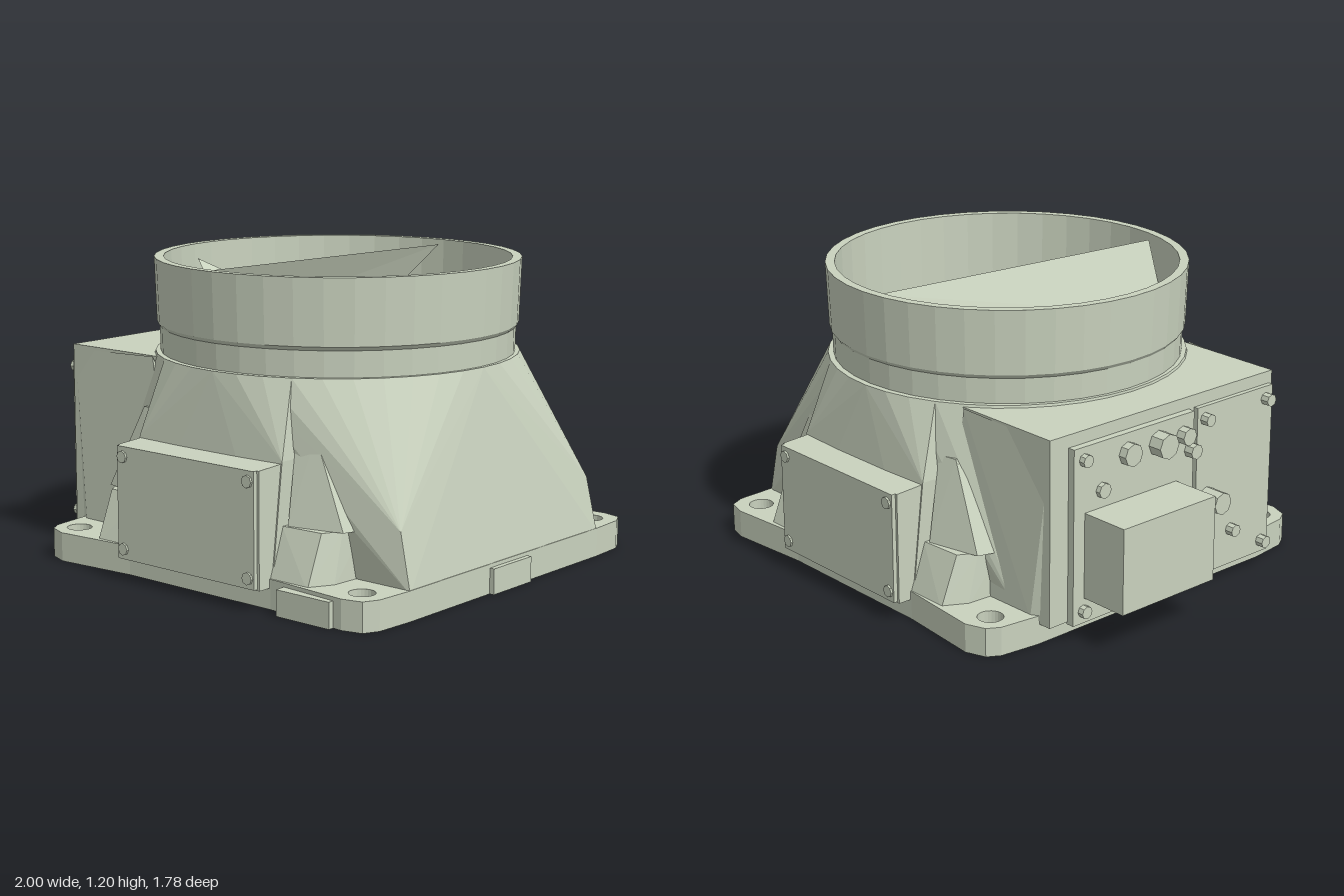
import * as THREE from 'three';
import { ConvexGeometry } from 'three/addons/geometries/ConvexGeometry.js';

const CX = 0.135; // axis of the collar and base
const paint = new THREE.MeshStandardMaterial({ color: 0xc9d2be, flatShading: true, side: THREE.DoubleSide });

export function createModel() {
  const model = new THREE.Group();

  const add = (name, geometry, x = 0, y = 0, z = 0) => {
    const mesh = new THREE.Mesh(geometry, paint);
    mesh.name = name;
    mesh.position.set(x, y, z);
    model.add(mesh);
    return mesh;
  };
  // Box given by its lower and upper corner
  const box = (name, x0, x1, y0, y1, z0, z1) =>
    add(name, new THREE.BoxGeometry(x1 - x0, y1 - y0, z1 - z0), (x0 + x1) / 2, (y0 + y1) / 2, (z0 + z1) / 2);
  // Solid through a few corner points
  const hull = (name, points) => add(name, new ConvexGeometry(points.map(p => new THREE.Vector3(...p))));
  const sheet = (name, points, index) => {
    const g = new THREE.BufferGeometry();
    g.setAttribute('position', new THREE.Float32BufferAttribute(points.flat(), 3));
    g.setIndex(index);
    g.computeVertexNormals();
    return add(name, g);
  };

  // Base flange: clipped corners, four bolt holes, round air opening
  const outline = new THREE.Shape();
  [[-0.71, -0.6], [-0.69, -0.76], [-0.66, -0.81], [-0.58, -0.84], [-0.23, -0.81], [0.5, -0.81], [0.86, -0.84],
    [0.94, -0.82], [0.97, -0.76], [0.98, -0.6], [0.98, 0.6], [0.97, 0.76], [0.94, 0.82], [0.86, 0.84],
    [0.5, 0.81], [-0.23, 0.81], [-0.58, 0.84], [-0.66, 0.81], [-0.69, 0.76], [-0.71, 0.6]]
    .forEach(([x, y], i) => (i ? outline.lineTo(x, y) : outline.moveTo(x, y)));
  const hole = (x, y, r) => outline.holes.push(new THREE.Path().absarc(x, y, r, 0, Math.PI * 2, true));
  hole(CX, 0, 0.76);
  for (const x of [-0.595, 0.865]) for (const z of [-0.73, 0.73]) hole(x, z, 0.05);
  const flange = new THREE.ExtrudeGeometry(outline, { depth: 0.115, bevelEnabled: false, curveSegments: 12 });
  add('baseFlange', flange.rotateX(-Math.PI / 2));
  box('flangeTabSide', 0.95, 1, 0, 0.1, -0.12, 0.12);
  box('flangeTabFront', 0.57, 0.82, 0, 0.1, 0.8, 0.86);

  // Air opening underneath: flat guard with a slotted rim
  add('guardPlate', new THREE.CircleGeometry(0.67, 40).rotateX(Math.PI / 2), CX, 0.015, 0);
  add('guardRim', new THREE.RingGeometry(0.7, 0.76, 40).rotateX(Math.PI / 2), CX, 0.015, 0);
  for (let i = 0; i < 4; i++) {
    add('guardSpoke', new THREE.BoxGeometry(1.48, 0.012, 0.03), CX, 0.014, 0).rotation.y = (i + 0.5) * Math.PI / 4;
  }

  // Housing: rectangle at the foot passing into the round neck
  const neck = [];
  for (let i = 0; i < 40; i++) {
    const a = i / 40 * Math.PI * 2;
    neck.push([CX + 0.715 * Math.cos(a), 0.83, 0.725 * Math.sin(a)]);
  }
  const foot = [];
  for (const z of [-0.6, 0.6]) foot.push([-0.6, 0.1, z], [0.98, 0.1, z], [0.93, 0.32, z * 0.99]);
  hull('housing', [...neck, ...foot]);
  box('controlBox', -0.765, 0.1, 0.08, 0.82, -0.59, 0.585);
  for (const s of [-1, 1]) {
    hull('controlBoxFlank', [[-0.76, 0.08, s * 0.56], [-0.76, 0.8, s * 0.58], [-0.3, 0.82, s * 0.6],
      [-0.2, 0.1, s * 0.62], [-0.68, 0.1, s * 0.61], [-0.2, 0.5, s * 0.5]]);
  }

  // Round collar with a thin wall and a small step near its foot
  const wall = [[0.68, 0.83], [0.7, 0.83], [0.702, 0.93], [0.713, 0.945], [0.722, 1.2], [0.685, 1.2], [0.68, 0.83]];
  add('collar', new THREE.LatheGeometry(wall.map(p => new THREE.Vector2(...p)), 40), CX, 0, 0);

  // Damper blade and deflector inside the collar
  sheet('damperBlade', [[0.12, 1.18, -0.67], [-0.01, 1.18, 0.65], [-0.14, 0.9, 0.62], [-0.03, 0.9, -0.4]],
    [0, 1, 2, 0, 2, 3]);
  sheet('deflector', [[-0.53, 1.14, 0.1], [-0.35, 1.02, -0.08], [-0.25, 0.97, 0.27]], [0, 1, 2]);

  // Front and back: covered compartment, buttresses and foot blocks
  for (const s of [-1, 1]) {
    const arc = neck.filter(p => p[2] * s > 0 && Math.abs(p[0] - CX) < 0.35);
    hull('compartment', [...arc, ...[-0.23, 0.5].flatMap(x =>
      [[x, 0.08, s * 0.8], [x, 0.54, s * 0.745], [x, 0.08, s * 0.4], [x, 0.54, s * 0.4]])]);
    hull('coverHousing', [-0.225, 0.495].flatMap(x =>
      [[x, 0.08, s * 0.6], [x, 0.08, s * 0.865], [x, 0.525, s * 0.865], [x, 0.54, s * 0.6]]));
    add('cover', new THREE.BoxGeometry(0.7, 0.44, 0.025), CX, 0.305, s * 0.87);
    for (const x of [-0.185, 0.455]) for (const y of [0.125, 0.485]) {
      add('coverScrew', new THREE.CylinderGeometry(0.024, 0.024, 0.014, 8).rotateX(Math.PI / 2), x, y, s * 0.884);
    }
    for (const m of [-1, 1]) {
      const at = (d, y, w) => [CX + m * d, y, s * w];
      // Fairing that leans from the neck out over the foot block
      hull('buttress', [at(0.38, 0.3, 0.73), at(0.6, 0.3, 0.68), at(0.64, 0.3, 0.55), at(0.36, 0.3, 0.5),
        at(0.44, 0.63, 0.645), at(0.36, 0.63, 0.66), at(0.36, 0.63, 0.5), at(0.54, 0.46, 0.61)]);
      hull('footBlock', [at(0.36, 0.1, 0.55), at(0.6, 0.1, 0.55), at(0.36, 0.1, 0.81), at(0.54, 0.1, 0.81),
        at(0.59, 0.1, 0.72), at(0.36, 0.3, 0.55), at(0.59, 0.3, 0.55), at(0.36, 0.3, 0.74),
        at(0.54, 0.3, 0.73), at(0.58, 0.3, 0.66)]);
    }
  }

  // Control side: two panels, plug, knobs and screws
  box('panelPlate', -0.795, -0.76, 0.07, 0.77, -0.5, 0.12);
  box('panelPlate', -0.785, -0.76, 0.07, 0.77, 0.15, 0.57);
  box('plug', -1, -0.78, 0.17, 0.51, -0.445, 0.03);
  // Each row: y, z, radius, reach
  const fittings = [[0.69, -0.07, 0.05, 0.07], [0.69, -0.23, 0.045, 0.045], [0.69, 0.06, 0.035, 0.05],
    [0.39, 0.21, 0.045, 0.09], [0.62, 0.1, 0.03, 0.05], [0.58, -0.36, 0.03, 0.03]];
  for (const y of [0.12, 0.72]) for (const z of [-0.45, 0.19, 0.53]) fittings.push([y, z, 0.025, 0.035]);
  for (const z of [0.08, 0.35]) fittings.push([0.22, z, 0.025, 0.035]);
  for (const [y, z, r, reach] of fittings) {
    add('fitting', new THREE.CylinderGeometry(r, r, reach + 0.04, 8).rotateZ(Math.PI / 2), -0.765 - reach / 2, y, z);
  }

  return model;
}
